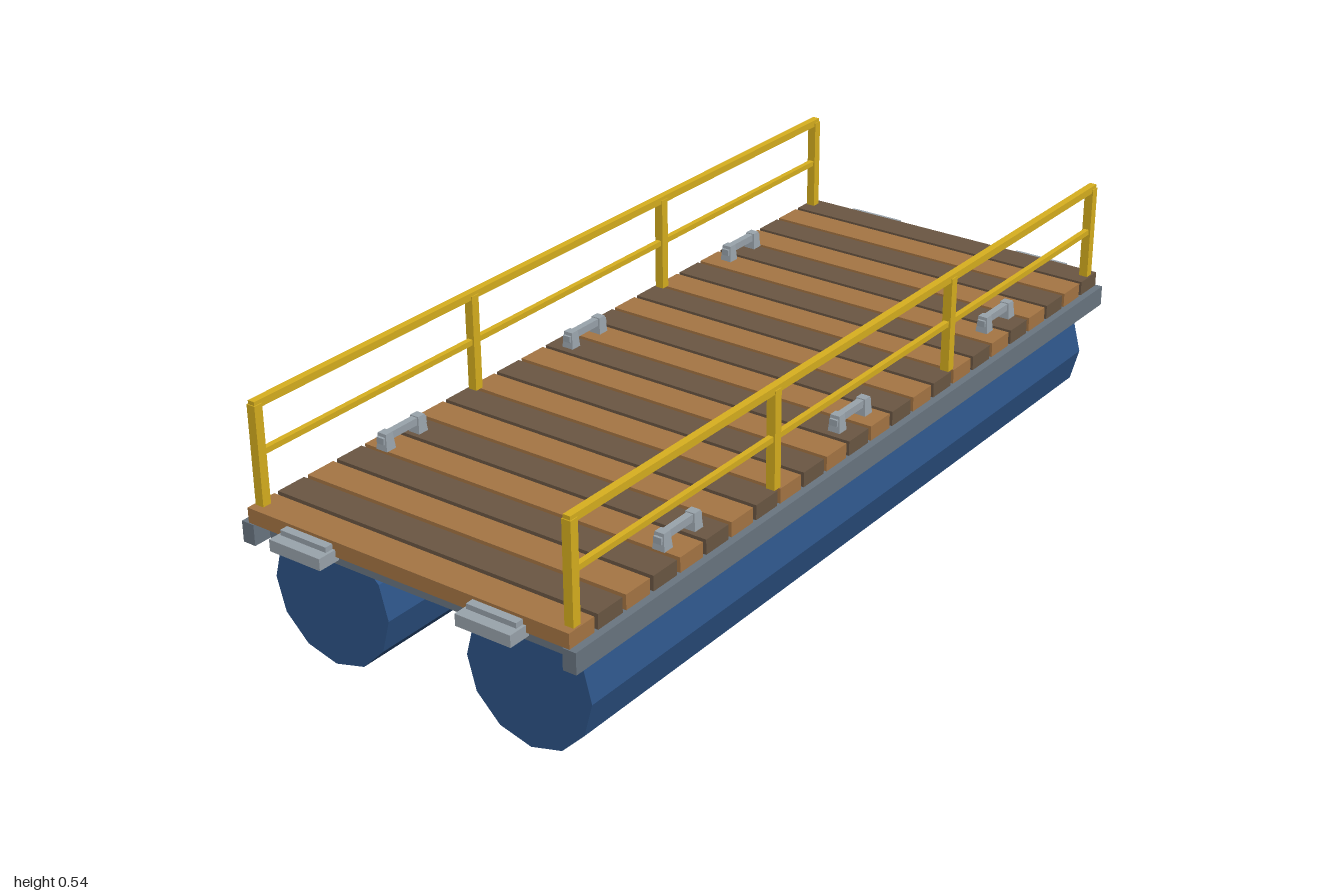
import * as THREE from 'three';

const mat = (color) => new THREE.MeshStandardMaterial({ color, flatShading: true });

export function createModel() {
  const root = new THREE.Group();
  const blue = mat(0x2d5487), steel = mat(0x6a7681), light = mat(0x9aa4ac);
  const tan = mat(0xa67644), dark = mat(0x6b5743), yellow = mat(0xd8b01f);

  const add = (name, geo, m, x, y, z, parent = root) => {
    const mesh = new THREE.Mesh(geo, m);
    mesh.name = name;
    mesh.position.set(x, y, z);
    parent.add(mesh);
    return mesh;
  };
  const box = (name, m, w, h, d, x, y, z, parent) =>
    add(name, new THREE.BoxGeometry(w, h, d), m, x, y, z, parent);

  // box whose top is scaled in x and z
  const taperedBox = (w, h, d, sx, sz) => {
    const g = new THREE.BoxGeometry(w, h, d);
    const p = g.attributes.position;
    for (let i = 0; i < p.count; i++) {
      if (p.getY(i) > 0) { p.setX(i, p.getX(i) * sx); p.setZ(i, p.getZ(i) * sz); }
    }
    g.computeVertexNormals();
    return g;
  };

  // deck planks in alternating colours
  const deck = new THREE.Group();
  deck.name = 'deck';
  root.add(deck);
  for (let i = 0; i < 24; i++) {
    box('plank', i % 2 ? tan : dark, 0.768, 0.032, 0.07, 0, 0.304, -0.922 + i * 0.0802, deck);
  }

  // cross beams under the deck
  for (let i = -3; i <= 3; i++) {
    box('crossBeam', steel, 0.74, 0.044, 0.04, 0, 0.265, i * 0.3);
  }

  for (const s of [-1, 1]) {
    // twelve-sided float
    const floatGeo = new THREE.CylinderGeometry(0.1445, 0.1445, 1.8, 12);
    floatGeo.rotateX(Math.PI / 2);
    add('pontoon', floatGeo, blue, s * 0.24, 0.1445, 0);
    for (const e of [-1, 1]) {
      add('pontoonCap', new THREE.CylinderGeometry(0.035, 0.035, 0.02, 12), blue, s * 0.24, 0.278, e * 0.77);
    }

    // side beam
    box('sideBeam', steel, 0.03, 0.045, 1.92, s * 0.385, 0.2655, 0);

    // guard rail
    const rail = new THREE.Group();
    rail.name = 'guardRail';
    root.add(rail);
    for (const z of [-0.93, -0.32, 0.32, 0.93]) {
      box('railPost', yellow, 0.02, 0.21, 0.02, s * 0.37, 0.425, z, rail);
    }
    box('topRail', yellow, 0.016, 0.016, 1.876, s * 0.37, 0.53, 0, rail);
    box('middleRail', yellow, 0.012, 0.012, 1.86, s * 0.37, 0.428, 0, rail);

    // mooring cleats: two tapered feet joined by a bar
    for (const z of [-0.58, 0, 0.58]) {
      const cleat = new THREE.Group();
      cleat.name = 'cleat';
      cleat.position.set(s * 0.337, 0.32, z);
      root.add(cleat);
      for (const e of [-1, 1]) {
        add('cleatFoot', taperedBox(0.028, 0.036, 0.026, 0.75, 0.75), light, 0, 0.018, e * 0.047, cleat);
        box('cleatHorn', light, 0.018, 0.014, 0.012, 0, 0.022, e * 0.057, cleat);
      }
      box('cleatBar', light, 0.015, 0.016, 0.094, 0, 0.026, 0, cleat);
    }

    // end couplings
    for (const e of [-1, 1]) {
      box('couplingBlock', light, 0.126, 0.025, 0.05, s * 0.225, 0.2905, e * 0.975);
      box('couplingPlate', light, 0.114, 0.032, 0.018, s * 0.225, 0.298, e * 0.967);
    }
  }
  return root;
}
